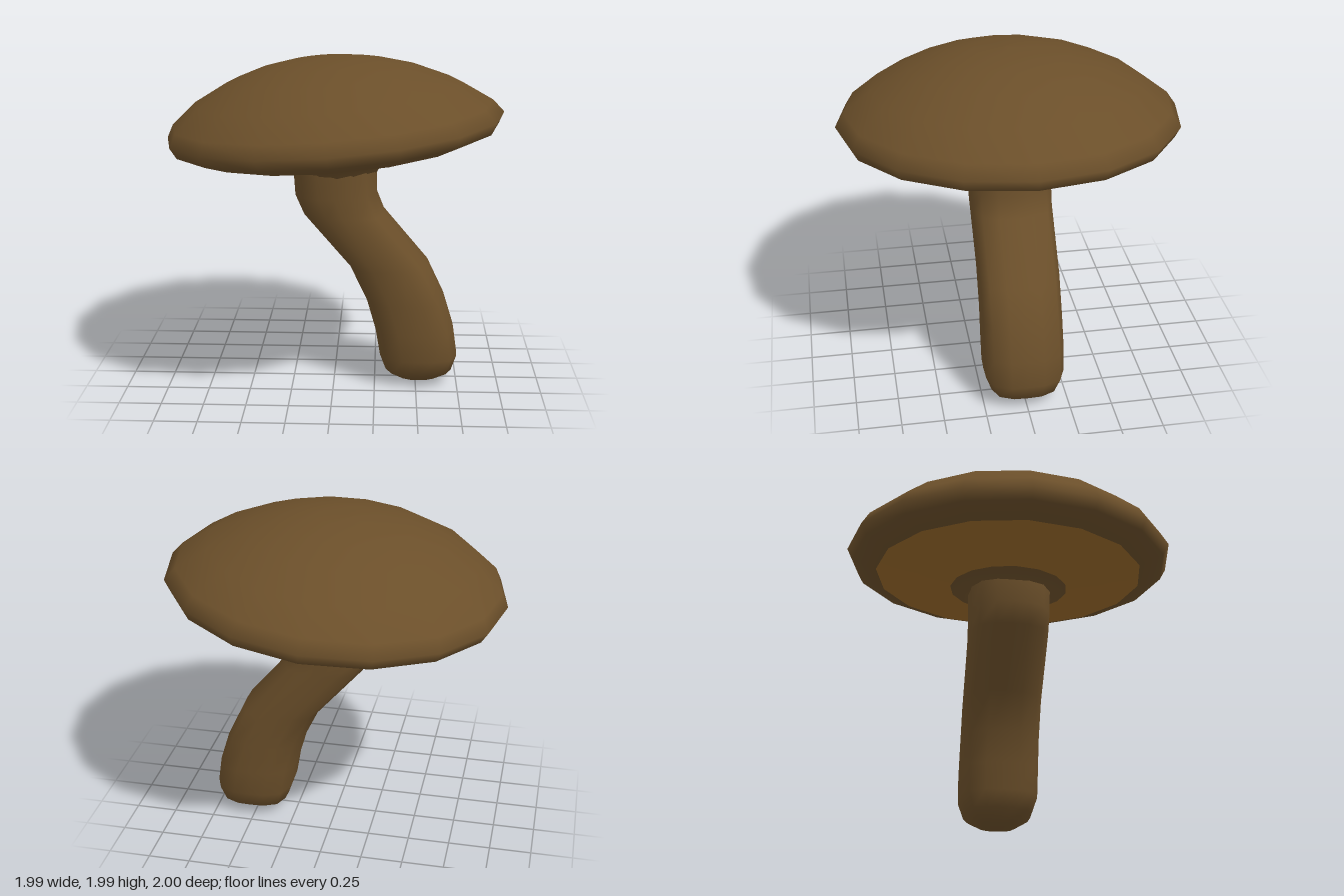
import * as THREE from 'three';

const SIDES = 16;

// Smooth loft through horizontal rings: [y, centre x, half width, squareness exponent]
function loftStem(rings) {
  const positions = [];
  const index = [];
  rings.forEach(([y, cx, r, n], k) => {
    for (let i = 0; i < SIDES; i++) {
      const a = (i / SIDES) * Math.PI * 2;
      const s = Math.sin(a);
      const c = Math.cos(a);
      const d = r / Math.pow(Math.abs(s) ** n + Math.abs(c) ** n, 1 / n);
      positions.push(cx + s * d, y, c * d);
      if (k === 0) continue;
      const j = (i + 1) % SIDES;
      const low = (k - 1) * SIDES;
      const high = k * SIDES;
      index.push(low + i, low + j, high + j, low + i, high + j, high + i);
    }
  });
  const geometry = new THREE.BufferGeometry();
  geometry.setAttribute('position', new THREE.Float32BufferAttribute(positions, 3));
  geometry.setIndex(index);
  geometry.computeVertexNormals();
  return geometry;
}

function lathe(profile) {
  return new THREE.LatheGeometry(profile.map(([r, y]) => new THREE.Vector2(r, y)), SIDES);
}

// Leans the dome's crown slightly to one side
function leanCrown(geometry, amount) {
  const p = geometry.attributes.position;
  for (let i = 0; i < p.count; i++) {
    p.setX(i, p.getX(i) - amount * Math.max(0, p.getY(i)));
  }
  return geometry;
}

function part(name, geometry, material) {
  const mesh = new THREE.Mesh(geometry, material);
  mesh.name = name;
  return mesh;
}

export function createModel() {
  const brown = new THREE.MeshStandardMaterial({ color: 0x6b4f2a });
  brown.name = 'mushroom brown';
  const gillBrown = new THREE.MeshStandardMaterial({ color: 0x9a6a2a });
  gillBrown.name = 'gill brown';

  const model = new THREE.Group();
  model.name = 'mushroom';

  // Curved stem with a rounded-square section and a rounded foot
  model.add(part('stem', loftStem([
    [0.003, 0.515, 0.001, 2.8],
    [0.02, 0.515, 0.115, 2.8],
    [0.08, 0.517, 0.203, 3.2],
    [0.18, 0.515, 0.236, 3.5],
    [0.34, 0.49, 0.238, 3.5],
    [0.525, 0.435, 0.236, 3.5],
    [0.74, 0.333, 0.236, 3.5],
    [1.06, 0.06, 0.24, 3.2],
    [1.18, 0.01, 0.245, 2.8],
    [1.33, 0.003, 0.252, 2.4],
    [1.42, 0, 0.252, 2.2],
  ]), brown));

  // Slightly tilted cap; its origin is the centre of the rim
  const cap = new THREE.Group();
  cap.name = 'cap';
  cap.position.y = 1.585;
  cap.rotation.z = 0.085;
  model.add(cap);

  cap.add(part('capDome', leanCrown(lathe([
    [0.82, -0.12], [0.965, -0.065], [1, 0], [0.95, 0.075], [0.79, 0.195],
    [0.57, 0.3], [0.37, 0.362], [0.19, 0.394], [0, 0.402],
  ]), 0.13), brown));
  cap.add(part('gills', lathe([[0.36, -0.2], [0.58, -0.162], [0.82, -0.12]]), gillBrown));
  // Flared collar that reaches into the stem all the way round
  cap.add(part('stemCollar', lathe([[0.225, -0.31], [0.268, -0.25], [0.36, -0.2]]), brown));

  return model;
}
